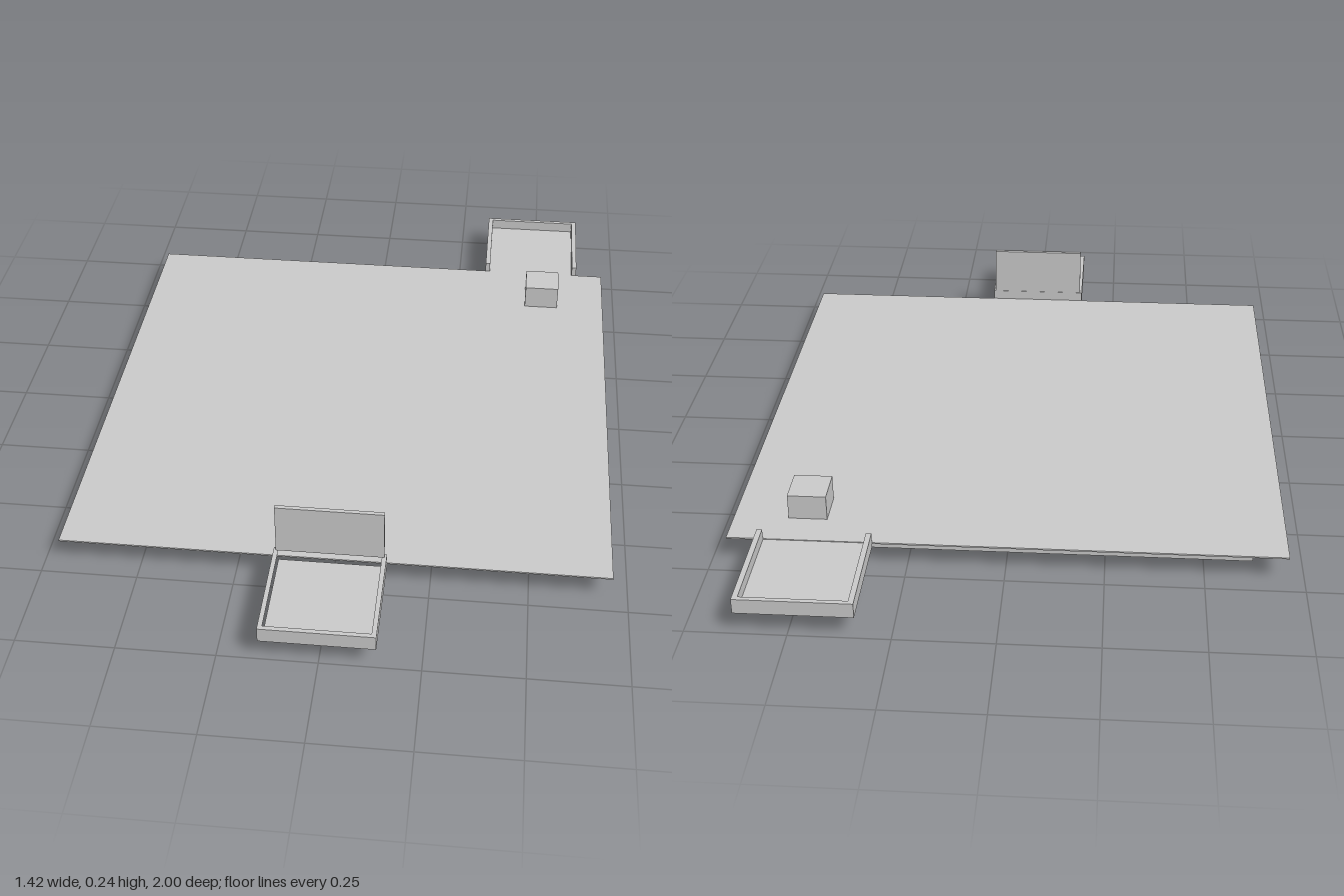
import * as THREE from 'three';

const material = new THREE.MeshStandardMaterial({ color: 0xcccccc, flatShading: true });

// Box given by its lower and upper limits on each axis
function box(name, [x0, x1], [y0, y1], [z0, z1]) {
  const mesh = new THREE.Mesh(new THREE.BoxGeometry(x1 - x0, y1 - y0, z1 - z0), material);
  mesh.name = name;
  mesh.position.set((x0 + x1) / 2, (y0 + y1) / 2, (z0 + z1) / 2);
  return mesh;
}

// Plan outline (x, z) raised from y0 to y1
function prism(name, points, hole, y0, y1) {
  const toVec = ([x, z]) => new THREE.Vector2(x, -z);
  const shape = new THREE.Shape(points.map(toVec));
  if (hole) shape.holes.push(new THREE.Path(hole.map(toVec)));
  const geometry = new THREE.ExtrudeGeometry(shape, { depth: y1 - y0, bevelEnabled: false });
  geometry.rotateX(-Math.PI / 2);
  const mesh = new THREE.Mesh(geometry, material);
  mesh.name = name;
  mesh.position.y = y0;
  return mesh;
}

const rect = (x0, x1, z0, z1) => [[x0, z0], [x1, z0], [x1, z1], [x0, z1]];

export function createModel() {
  const model = new THREE.Group();
  model.name = 'platform';
  const edge = 0.708, low = 0.06, floor = 0.07, rim = 0.1;

  // Foundation block and the thin overhanging deck
  model.add(box('foundation', [-0.626, 0.626], [0, 0.068], [-0.626, 0.626]));
  model.add(box('deck', [-edge, edge], [0.068, 0.072], [-edge, edge]));

  // Small block on the deck
  model.add(box('deckBlock', [0.466, 0.566], [0.072, 0.14], [-0.612, -0.512]));

  // Front tray: rim on all four sides, with an upright panel at the deck
  const frontTray = new THREE.Group();
  frontTray.name = 'frontTray';
  const fx0 = -0.147, fx1 = 0.14, t = 0.012;
  frontTray.add(
    prism('frontRim', rect(fx0, fx1, edge, 1), rect(fx0 + t, fx1 - t, edge + t, 1 - t), low, rim),
    box('frontFloor', [fx0 + t, fx1 - t], [low, floor], [edge + t, 1 - t]),
    box('frontPanel', [-0.141, 0.134], [rim, 0.24], [edge + 0.001, edge + t]),
  );
  model.add(frontTray);

  // Back tray: rim on three sides, open towards the deck
  const backTray = new THREE.Group();
  backTray.name = 'backTray';
  const bx0 = 0.336, bx1 = 0.627, w = 0.014;
  const outline = [
    [bx0, -edge], [bx0, -1], [bx1, -1], [bx1, -edge],
    [bx1 - w, -edge], [bx1 - w, -1 + t], [bx0 + w, -1 + t], [bx0 + w, -edge],
  ];
  backTray.add(
    prism('backRim', outline, null, low, rim),
    box('backFloor', [bx0 + w, bx1 - w], [low, floor], [-1 + t, -edge]),
  );
  model.add(backTray);

  return model;
}
